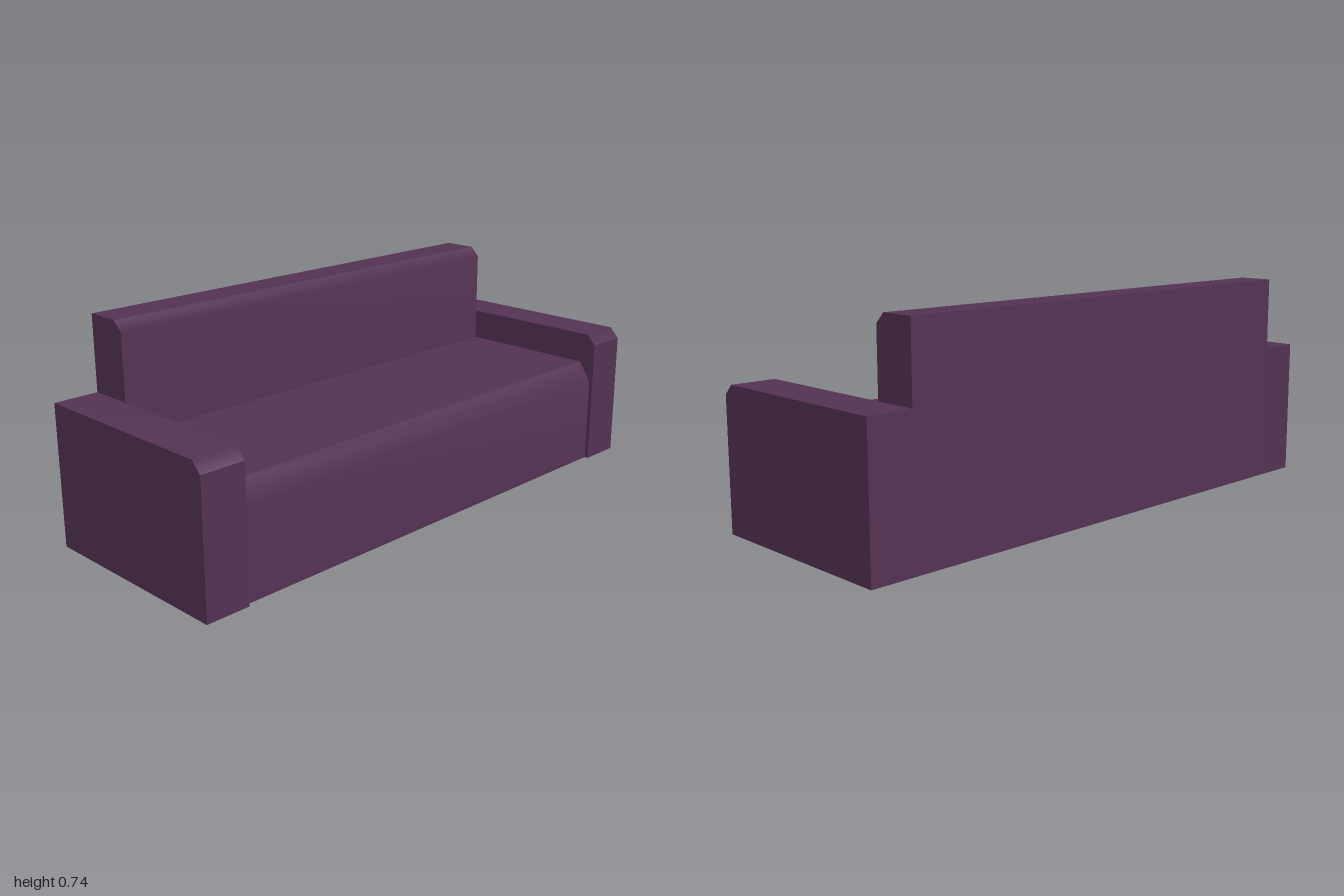
import * as THREE from 'three';

export function createModel() {
  const sofa = new THREE.Group();
  sofa.name = 'sofa';
  const fabric = new THREE.MeshStandardMaterial({ color: 0x553354, side: THREE.DoubleSide });
  fabric.name = 'plum fabric';

  const BACK = -0.365, FRONT = 0.364, INNER = 0.845, ARM_TOP = 0.485;

  function add(parent, name, geometry) {
    const mesh = new THREE.Mesh(geometry, fabric);
    mesh.name = name;
    parent.add(mesh);
    return mesh;
  }

  function group(name) {
    const g = new THREE.Group();
    g.name = name;
    sofa.add(g);
    return g;
  }

  // Panel swept along z through [x, y] points, smooth across its inner edges
  function strip(points, z0, z1) {
    const positions = [], index = [];
    points.forEach(([x, y], i) => {
      positions.push(x, y, z0, x, y, z1);
      if (i > 0) {
        const a = 2 * i - 2;
        index.push(a, a + 1, a + 2, a + 1, a + 3, a + 2);
      }
    });
    const g = new THREE.BufferGeometry();
    g.setAttribute('position', new THREE.Float32BufferAttribute(positions, 3));
    g.setIndex(index);
    g.computeVertexNormals();
    return g;
  }

  // Flat end panel in the xy plane
  function cap(points, z) {
    const shape = new THREE.Shape(points.map(([x, y]) => new THREE.Vector2(x, y)));
    return new THREE.ShapeGeometry(shape).translate(0, 0, z);
  }

  // Arms: hollow shells, open underneath
  const armProfile = [[BACK, 0], [BACK, ARM_TOP], [0.329, ARM_TOP], [FRONT, 0.45], [FRONT, 0]];
  for (const [name, z0, z1] of [['rightArm', -1, -INNER], ['leftArm', INNER, 1]]) {
    const arm = group(name);
    add(arm, 'armBack', strip(armProfile.slice(0, 2), z0, z1));
    add(arm, 'armTop', strip(armProfile.slice(1, 4), z0, z1));
    add(arm, 'armFront', strip(armProfile.slice(3), z0, z1));
    for (const z of [z0, z1]) add(arm, 'armSide', cap(armProfile, z));
  }

  // Backrest: tall rear panel, flat top, bevelled front
  const backrest = group('backrest');
  const backProfile = [[BACK, ARM_TOP], [BACK, 0.742], [-0.243, 0.742], [-0.21, 0.708], [-0.21, ARM_TOP]];
  add(backrest, 'rearPanel', strip([[BACK, 0], [BACK, 0.742]], -INNER, INNER));
  add(backrest, 'backrestTop', strip(backProfile.slice(1, 3), -INNER, INNER));
  add(backrest, 'backrestFront', strip([[-0.243, 0.742], [-0.21, 0.708], [-0.21, 0.375]], -INNER, INNER));
  for (const z of [-INNER, INNER]) add(backrest, 'backrestEnd', cap(backProfile, z));

  // Seat: flat top with a bevelled front that runs to the floor
  const seat = group('seat');
  add(seat, 'seatTop', strip([[-0.21, 0.375], [0.303, 0.375]], -INNER, INNER));
  add(seat, 'seatFront', strip([[0.303, 0.375], [0.35, 0.305], [0.35, 0]], -INNER, INNER));

  // Triangular brace hidden under the backrest
  add(sofa, 'brace', cap([[BACK, 0], [-0.21, 0.375], [BACK, 0.53]], -0.285));

  return sofa;
}
